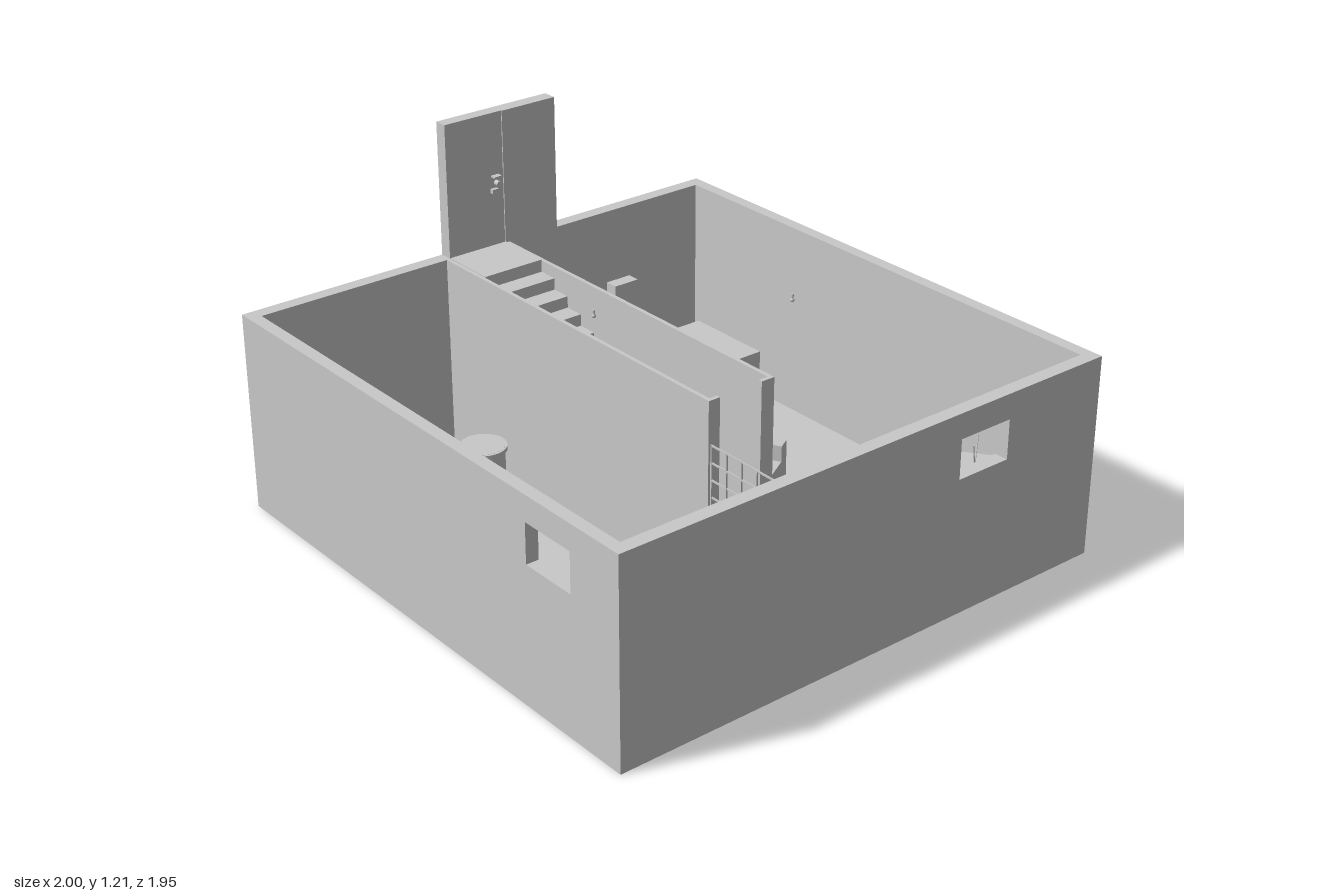
import * as THREE from 'three';
import { RoundedBoxGeometry } from 'three/addons/geometries/RoundedBoxGeometry.js';

const grey = new THREE.MeshStandardMaterial({ color: 0xc8c8c8, side: THREE.DoubleSide });
grey.name = 'plaster grey';

const TOP = 0.72;
const outline = pts => pts.map(p => new THREE.Vector2(...p));
const rect = (x0, x1, y0, y1) => outline([[x0, y0], [x1, y0], [x1, y1], [x0, y1]]);

function add(parent, name, geo, x = 0, y = 0, z = 0) {
  const m = new THREE.Mesh(geo, grey);
  m.name = name;
  m.position.set(x, y, z);
  parent.add(m);
  return m;
}

// Box given by its limits on each axis
function box(parent, name, x0, x1, y0, y1, z0, z1, radius = 0) {
  const w = x1 - x0, h = y1 - y0, d = z1 - z0;
  const geo = radius ? new RoundedBoxGeometry(w, h, d, 3, radius) : new THREE.BoxGeometry(w, h, d);
  return add(parent, name, geo, (x0 + x1) / 2, (y0 + y1) / 2, (z0 + z1) / 2);
}

function cyl(parent, name, r, h, x, y, z, sides = 12) {
  return add(parent, name, new THREE.CylinderGeometry(r, r, h, sides), x, y, z);
}

function group(parent, name, x = 0, y = 0, z = 0, turn = 0) {
  const g = new THREE.Group();
  g.name = name;
  g.position.set(x, y, z);
  g.rotation.y = turn;
  parent.add(g);
  return g;
}

// Hollow upright panel along x, open at the bottom, with an optional window from a to b
function wallGeometry(x0, x1, height, depth, a, b) {
  const s = new THREE.Shape(rect(x0, x1, 0, height));
  if (a !== undefined) s.holes.push(new THREE.Path(rect(a, b, 0.49, 0.63)));
  const geo = new THREE.ExtrudeGeometry(s, { depth, bevelEnabled: false });
  const p = geo.attributes.position, kept = [];
  for (let i = 0; i < p.count; i += 3) {
    const corners = [i, i + 1, i + 2];
    if (corners.some(k => p.getY(k) > 0.001)) for (const k of corners) kept.push(p.getX(k), p.getY(k), p.getZ(k));
  }
  const open = new THREE.BufferGeometry();
  open.setAttribute('position', new THREE.Float32BufferAttribute(kept, 3));
  open.computeVertexNormals();
  return open;
}

function buildShell(root) {
  const shell = group(root, 'roomShell');
  add(shell, 'frontWall', wallGeometry(-1, 1, TOP, 0.045, 0.57, 0.78), 0, 0, 0.93);
  add(shell, 'backWall', wallGeometry(-1, 1, TOP, 0.045), 0, 0, -0.975);
  add(shell, 'leftWall', wallGeometry(-0.93, 0.93, TOP, 0.05, 0.35, 0.56), 0.95).rotation.y = Math.PI / 2;
  add(shell, 'rightWall', wallGeometry(-0.93, 0.93, TOP, 0.05), -1).rotation.y = Math.PI / 2;
  // Floor sheet, cut out beneath the hollow stair walls
  const floor = new THREE.Shape(rect(-0.95, 0.95, -0.93, 0.93));
  for (const [z0, z1] of [[0.057, 0.072], [-0.195, -0.18]]) floor.holes.push(new THREE.Path(rect(-0.945, 0.44, z0, z1)));
  add(shell, 'floor', new THREE.ShapeGeometry(floor)).rotation.x = -Math.PI / 2;
  // Raised wall and door at the head of the stairs
  box(shell, 'doorSideWall', -1, -0.948, TOP, 1.21, -0.28, -0.055);
  box(shell, 'door', -1, -0.952, TOP, 1.21, -0.055, 0.18);
  box(shell, 'doorLatch', -0.952, -0.93, 0.977, 0.983, -0.035, -0.005);
  cyl(shell, 'doorKnob', 0.01, 0.02, -0.942, 0.953, -0.025).rotation.z = Math.PI / 2;
  box(shell, 'doorLock', -0.952, -0.937, 0.92, 0.935, -0.025, 0);
}

function buildStairs(root) {
  const stairs = group(root, 'staircase');
  add(stairs, 'stairWallBack', wallGeometry(-0.95, 0.44, TOP, 0.015), 0, 0, -0.072);
  add(stairs, 'stairWallFront', wallGeometry(-0.95, 0.44, TOP, 0.015), 0, 0, 0.18);
  box(stairs, 'endPostBack', 0.44, 0.455, 0, TOP, -0.072, -0.02);
  box(stairs, 'endPostFront', 0.44, 0.455, 0, TOP, 0.15, 0.195);
  box(stairs, 'landing', -0.95, -0.74, 0.705, 0.723, -0.057, 0.18);
  const n = 16, run = 1.18 / n, rise = TOP / (n + 1);
  for (let i = 0; i < n; i++) {
    const x = -0.74 + i * run, y = TOP - (i + 1) * rise;
    box(stairs, 'tread', x, x + run, y - 0.01, y, -0.057, 0.18);
    box(stairs, 'riser', x - 0.005, x, y, y + rise - 0.01, -0.057, 0.18);
  }
}

function buildFence(root) {
  const fence = group(root, 'gridFence');
  for (let i = 0; i <= 7; i++) {
    const x = 0.458 + i * 0.07;
    box(fence, 'fenceBar', x - 0.003, x + 0.003, 0, 0.567, 0.181, 0.187);
  }
  for (let i = 0; i < 10; i++) {
    const y = 0.565 - i * 0.0605;
    box(fence, 'fenceRail', 0.455, 0.95, y - 0.003, y + 0.003, 0.182, 0.186);
  }
  box(fence, 'latch', 0.785, 0.8, 0.28, 0.31, 0.187, 0.199);
}

// Seat facing +z, centred on its own origin
function buildSofa(root) {
  const sofa = group(root, 'sofa', -0.037, 0, 0.793, Math.PI);
  box(sofa, 'sofaBase', -0.272, 0.272, 0, 0.075, -0.13, 0.133);
  for (const s of [-1, 1]) {
    box(sofa, 'sofaArm', s * 0.245 - 0.027, s * 0.245 + 0.027, 0, 0.16, -0.13, 0.135);
    box(sofa, 'seatCushion', s * 0.109 - 0.108, s * 0.109 + 0.108, 0.075, 0.115, -0.095, 0.135, 0.008);
    const c = box(sofa, 'backCushion', s * 0.109 - 0.107, s * 0.109 + 0.107, 0.115, 0.23, -0.094, -0.002, 0.03);
    c.rotation.x = -0.05;
  }
  box(sofa, 'sofaBack', -0.272, 0.272, 0, 0.21, -0.132, -0.092);
  cyl(sofa, 'sofaBackRoll', 0.02, 0.544, 0, 0.21, -0.112, 16).rotation.z = Math.PI / 2;
}

function buildArmchair(root) {
  const chair = group(root, 'armchair', -0.03, 0, -0.335, Math.PI / 2 + 0.52);
  for (const s of [-1, 1]) box(chair, 'chairArm', s * 0.138 - 0.027, s * 0.138 + 0.027, 0, 0.16, -0.135, 0.135);
  box(chair, 'chairSeat', -0.111, 0.111, 0.01, 0.1, -0.07, 0.135);
  box(chair, 'chairBack', -0.111, 0.111, 0, 0.27, -0.135, -0.05);
  const pad = box(chair, 'chairBackPad', -0.11, 0.11, 0.09, 0.26, -0.058, -0.035);
  pad.rotation.x = -0.17;
}

function buildTelevision(root) {
  const tv = group(root, 'television', 0.712, 0, -0.732, -0.95);
  box(tv, 'tvStand', -0.115, 0.115, 0.12, 0.135, -0.1, 0.1);
  for (const x of [-0.1, 0.1]) for (const z of [-0.085, 0.085]) box(tv, 'standLeg', x - 0.008, x + 0.008, 0, 0.12, z - 0.008, z + 0.008);
  box(tv, 'tvCase', -0.105, 0.105, 0.135, 0.28, -0.075, 0.088);
  box(tv, 'tvScreen', -0.09, 0.045, 0.15, 0.265, 0.088, 0.094);
  for (const y of [0.2, 0.24]) cyl(tv, 'tvDial', 0.01, 0.012, 0.073, y, 0.093).rotation.x = Math.PI / 2;
  cyl(tv, 'antennaBase', 0.015, 0.012, 0, 0.286, 0);
  for (const s of [-1, 1]) {
    const a = cyl(tv, 'antenna', 0.002, 0.12, s * 0.03, 0.34, 0, 6);
    a.rotation.z = -s * 0.5;
  }
}

function buildShelves(root) {
  const shelf = group(root, 'shelfUnit');
  for (const z of [0.36, 0.76]) box(shelf, 'shelfSide', 0.785, 0.95, 0, 0.54, z, z + 0.012);
  box(shelf, 'shelfBack', 0.94, 0.95, 0, 0.54, 0.372, 0.76);
  for (let i = 0; i < 5; i++) {
    const y = 0.02 + i * 0.127;
    box(shelf, 'shelfBoard', 0.785, 0.94, y, y + 0.012, 0.372, 0.76);
  }
}

function buildUtilities(root) {
  box(root, 'storageChest', -0.91, -0.555, 0, 0.18, -0.915, -0.73);
  box(root, 'fuseBox', -0.95, -0.9, 0.3, 0.44, -0.61, -0.505);
  // Low cabinet with knobs on the front and a handle on top
  const cab = group(root, 'cabinet');
  box(cab, 'cabinetBody', -0.95, -0.855, 0, 0.25, -0.31, -0.1);
  for (const z of [-0.27, -0.155]) box(cab, 'cabinetKnob', -0.855, -0.845, 0.17, 0.185, z - 0.006, z + 0.006);
  box(cab, 'cabinetHandle', -0.9, -0.895, 0.25, 0.256, -0.235, -0.18);
  // Rimmed drum
  cyl(root, 'drum', 0.075, 0.21, -0.55, 0.105, 0.345, 32);
  add(root, 'drumRim', new THREE.CylinderGeometry(0.083, 0.083, 0.015, 32), -0.55, 0.202, 0.345);
  // Hanging bulbs
  for (const [x, z] of [[-0.3, 0.055], [0.02, -0.54]]) {
    const lamp = group(root, 'hangingBulb', x, 0, z);
    cyl(lamp, 'bulbSocket', 0.005, 0.016, 0, 0.711, 0, 8);
    add(lamp, 'bulb', new THREE.SphereGeometry(0.008, 10, 8), 0, 0.698, 0);
  }
  add(root, 'floorBall', new THREE.SphereGeometry(0.008, 10, 8), 0.11, 0.008, 0.545);
}

export function createModel() {
  const root = new THREE.Group();
  root.name = 'basementRoom';
  for (const build of [buildShell, buildStairs, buildFence, buildSofa, buildArmchair, buildTelevision, buildShelves, buildUtilities]) build(root);
  return root;
}
